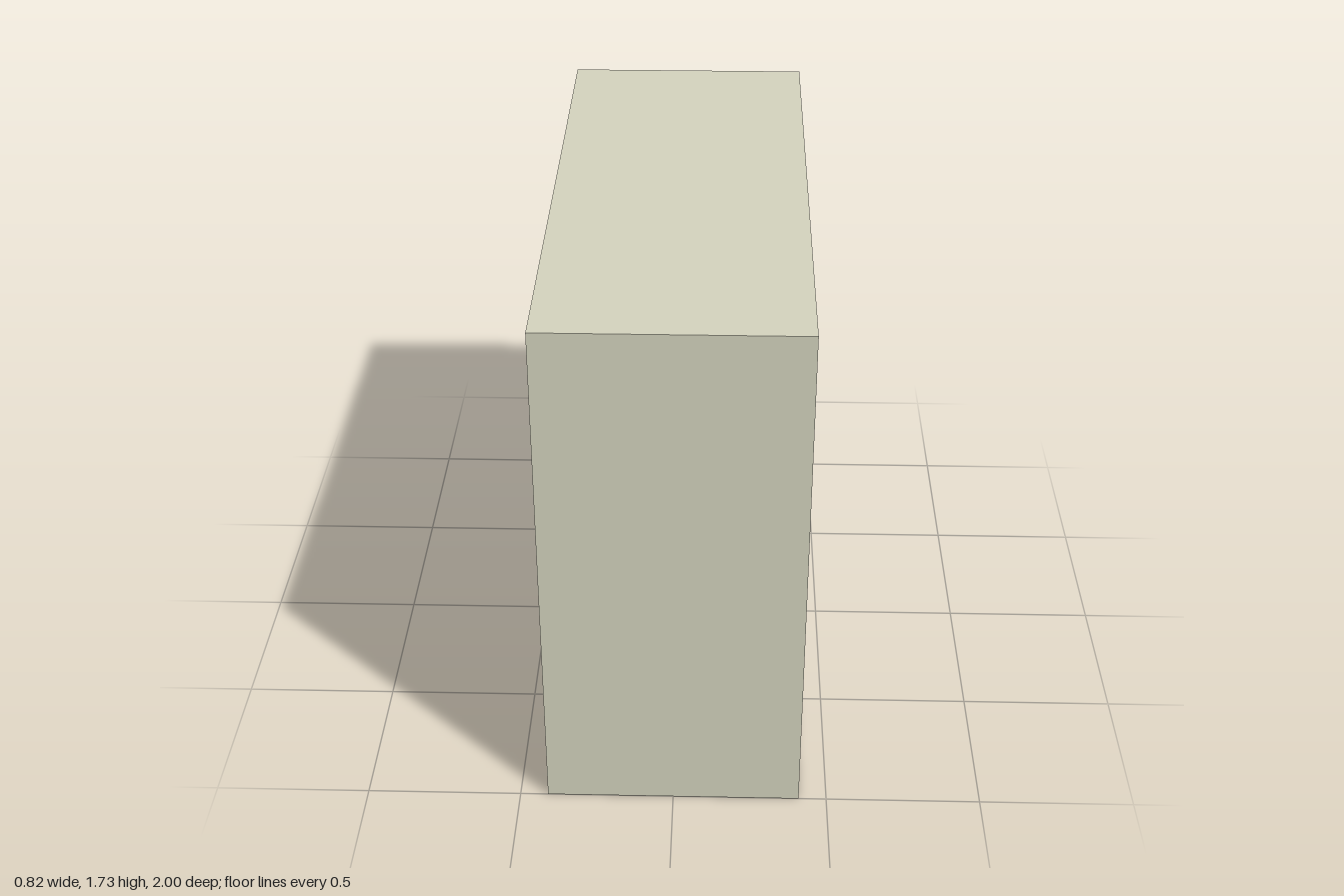
import * as THREE from 'three';

const W = 0.82, H = 1.73, D = 2; // x, y, z extents
const T = 0.036;                 // panel thickness
const BAYS = 3;

function rect(target, x, y, w, h) {
  target.moveTo(x, y);
  target.lineTo(x + w, y);
  target.lineTo(x + w, y + h);
  target.lineTo(x, y + h);
  target.closePath();
  return target;
}

export function createModel() {
  const group = new THREE.Group();
  group.name = 'openCabinet';
  const material = new THREE.MeshStandardMaterial({ color: 0xd3d2bd });

  // Outer frame and upright dividers, open towards +x
  const outline = rect(new THREE.Shape(), -D / 2, 0, D, H);
  const bay = (D - (BAYS + 1) * T) / BAYS;
  for (let i = 0; i < BAYS; i++) {
    const start = -D / 2 + T + i * (bay + T);
    outline.holes.push(rect(new THREE.Path(), start, T, bay, H - 2 * T));
  }
  const frameGeometry = new THREE.ExtrudeGeometry(outline, { depth: W - T, bevelEnabled: false });
  frameGeometry.rotateY(Math.PI / 2);
  const frame = new THREE.Mesh(frameGeometry, material);
  frame.name = 'frameWithDividers';
  frame.position.x = -W / 2 + T;
  group.add(frame);

  // Closed panel behind the bays
  const back = new THREE.Mesh(new THREE.BoxGeometry(T, H, D), material);
  back.name = 'backPanel';
  back.position.set(-W / 2 + T / 2, H / 2, 0);
  group.add(back);

  return group;
}
